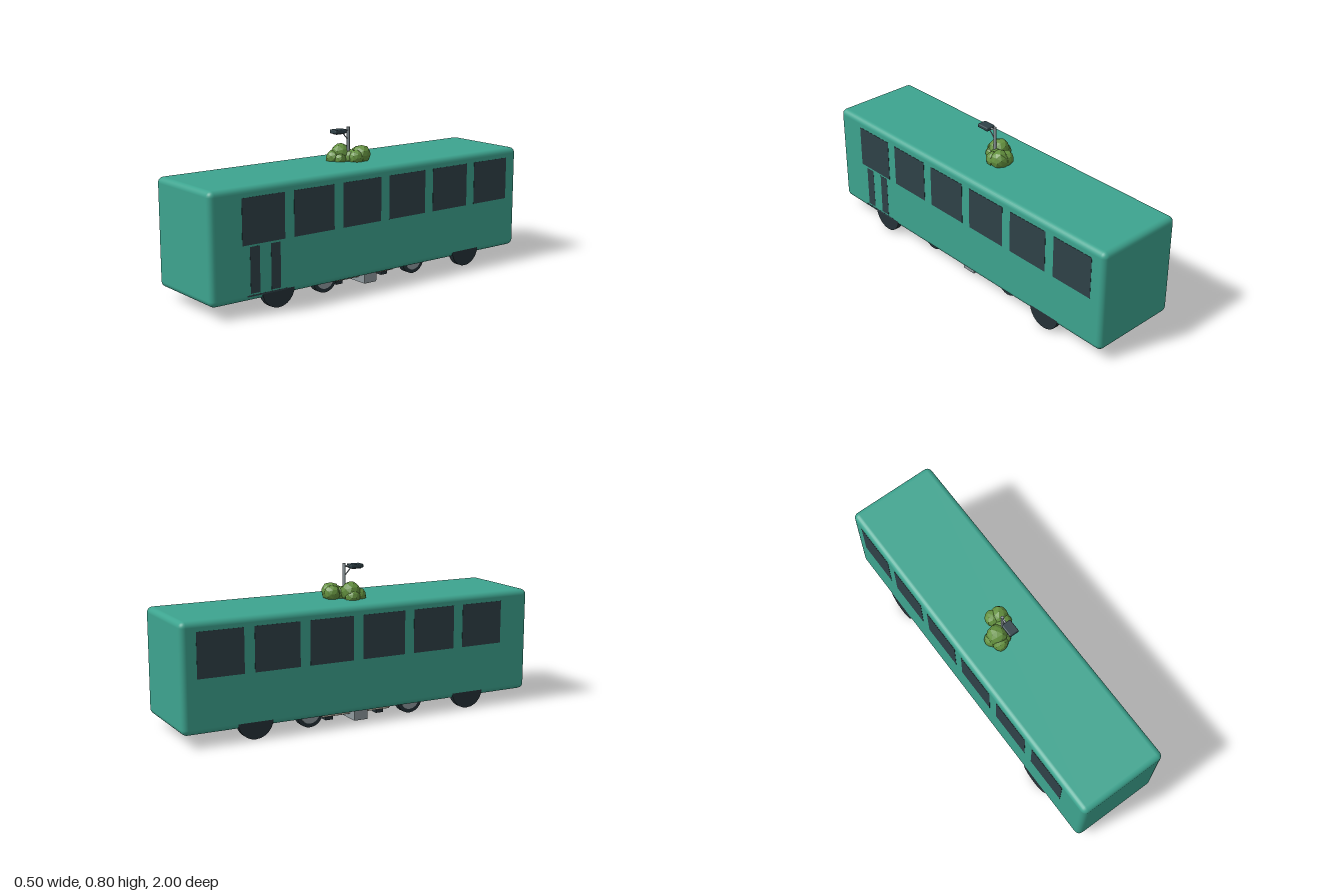
import * as THREE from 'three';
import { RoundedBoxGeometry } from 'three/addons/geometries/RoundedBoxGeometry.js';

const mat = (name, color, flatShading = false) => {
  const m = new THREE.MeshStandardMaterial({ color, flatShading });
  m.name = name;
  return m;
};

export function createModel() {
  const teal = mat('teal paint', 0x3da48f);
  const glass = mat('dark glass', 0x2f4148);
  const rubber = mat('dark rubber', 0x263238);
  const black = mat('chassis black', 0x1e282d);
  const grey = mat('steel grey', 0x8f9a9e);
  const beige = mat('beige', 0xbdb8a8);
  const leaf = mat('leaf green', 0x64913f, true);

  const root = new THREE.Group();
  root.name = 'bus';
  const add = (name, geo, material, x, y, z, parent = root) => {
    const m = new THREE.Mesh(geo, material);
    m.name = name;
    m.position.set(x, y, z);
    parent.add(m);
    return m;
  };
  const box = (name, w, h, d, material, x, y, z, parent) =>
    add(name, new THREE.BoxGeometry(w, h, d), material, x, y, z, parent);

  // Body shell
  add('body', new RoundedBoxGeometry(0.494, 0.557, 2, 3, 0.03), teal, 0, 0.3415, 0);

  // Six windows on each side
  for (const s of [-1, 1])
    for (let i = 0; i < 6; i++)
      box('window', 0.004, 0.23, 0.245, glass, s * 0.2462, 0.455, 0.7025 - i * 0.3);

  // Door with two narrow panes and a sill below the front left window
  for (const z of [0.635, 0.755])
    box('doorPane', 0.004, 0.23, 0.055, glass, 0.2455, 0.215, z);
  box('doorSill', 0.004, 0.008, 0.235, glass, 0.2455, 0.089, 0.685);

  // Axle-mounted wheels: large outer pairs and small inner pairs
  const wheel = (name, r, width, x, z, rimR) => {
    const g = new THREE.Group();
    g.name = name;
    g.position.set(x, r + 0.002, z);
    root.add(g);
    const tyre = new THREE.CylinderGeometry(r, r, width, 24).rotateZ(Math.PI / 2);
    add('tyre', tyre, rubber, 0, 0, 0, g);
    if (rimR) {
      const rim = new THREE.CylinderGeometry(rimR, rimR, width + 0.006, 20).rotateZ(Math.PI / 2);
      add('rim', rim, grey, 0, 0, 0, g);
    }
  };
  for (const sx of [-1, 1])
    for (const sz of [-1, 1]) {
      wheel('outerWheel', 0.095, 0.031, sx * 0.231, sz * 0.62);
      wheel('innerWheel', 0.075, 0.038, sx * 0.167, sz * 0.295, 0.055);
    }

  // Underbody plate with sloping edges
  const plate = new THREE.BoxGeometry(0.35, 0.02, 0.84);
  const p = plate.attributes.position;
  for (let i = 0; i < p.count; i++)
    if (p.getY(i) < 0) p.setXYZ(i, p.getX(i) * 0.95, p.getY(i), p.getZ(i) * 0.94);
  plate.computeVertexNormals();
  add('chassis', plate, black, 0, 0.06, 0);

  // Equipment tray, its feet and the cross beam
  add('tray', new RoundedBoxGeometry(0.28, 0.026, 0.4, 2, 0.006), beige, 0, 0.04, 0);
  for (const sx of [-1, 1])
    for (const sz of [-1, 1])
      box('trayFoot', 0.043, 0.026, 0.043, rubber, sx * 0.096, 0.017, sz * 0.15);
  box('crossBeam', 0.376, 0.058, 0.078, grey, 0, 0.031, 0);
  for (const s of [-1, 1])
    for (const sz of [-1, 1])
      box('beamBracket', 0.03, 0.006, 0.006, rubber, s * 0.02, 0.019, sz * 0.041);

  // Faceted bush on the roof: [x, y, z, radius]
  const bush = new THREE.Group();
  bush.name = 'bush';
  root.add(bush);
  const blobs = [
    [0.027, 0.65, -0.066, 0.05], [-0.006, 0.648, -0.074, 0.044], [0.034, 0.64, -0.025, 0.04],
    [-0.046, 0.656, 0.015, 0.054], [-0.072, 0.632, 0.012, 0.041], [-0.053, 0.636, 0.055, 0.041],
    [0.0, 0.64, -0.015, 0.04], [-0.018, 0.63, 0.04, 0.035],
  ];
  blobs.forEach(([x, y, z, r], i) => {
    const geo = new THREE.IcosahedronGeometry(r, 1);
    const a = geo.attributes.position;
    // Uneven surface from a position-based wobble
    for (let k = 0; k < a.count; k++) {
      const px = a.getX(k), py = a.getY(k), pz = a.getZ(k);
      const f = 1 + 0.06 * Math.sin(px / r * 4 + i * 2) * Math.cos(pz / r * 3 + py / r * 2 + i);
      a.setXYZ(k, px * f, py * f, pz * f);
    }
    geo.computeVertexNormals();
    add('foliage', geo, leaf, x, y, z, bush);
  });

  // Lamp post on the roof: pole, arm, brace and head
  const rod = (name, a, b, r) => {
    const d = b.clone().sub(a);
    const m = add(name, new THREE.CylinderGeometry(r, r, d.length(), 10), grey, 0, 0, 0);
    m.position.copy(a).add(b).multiplyScalar(0.5);
    m.quaternion.setFromUnitVectors(new THREE.Vector3(0, 1, 0), d.normalize());
  };
  const v = (y, z) => new THREE.Vector3(0, y, z);
  rod('lampPole', v(0.6, 0), v(0.8, 0), 0.008);
  rod('lampArm', v(0.784, 0), v(0.784, 0.05), 0.005);
  rod('lampBrace', v(0.735, 0.004), v(0.776, 0.042), 0.003);
  add('lampHead', new RoundedBoxGeometry(0.054, 0.021, 0.074, 2, 0.006), glass, 0, 0.782, 0.065);
  box('lampLens', 0.036, 0.004, 0.05, grey, 0, 0.77, 0.065);

  return root;
}
